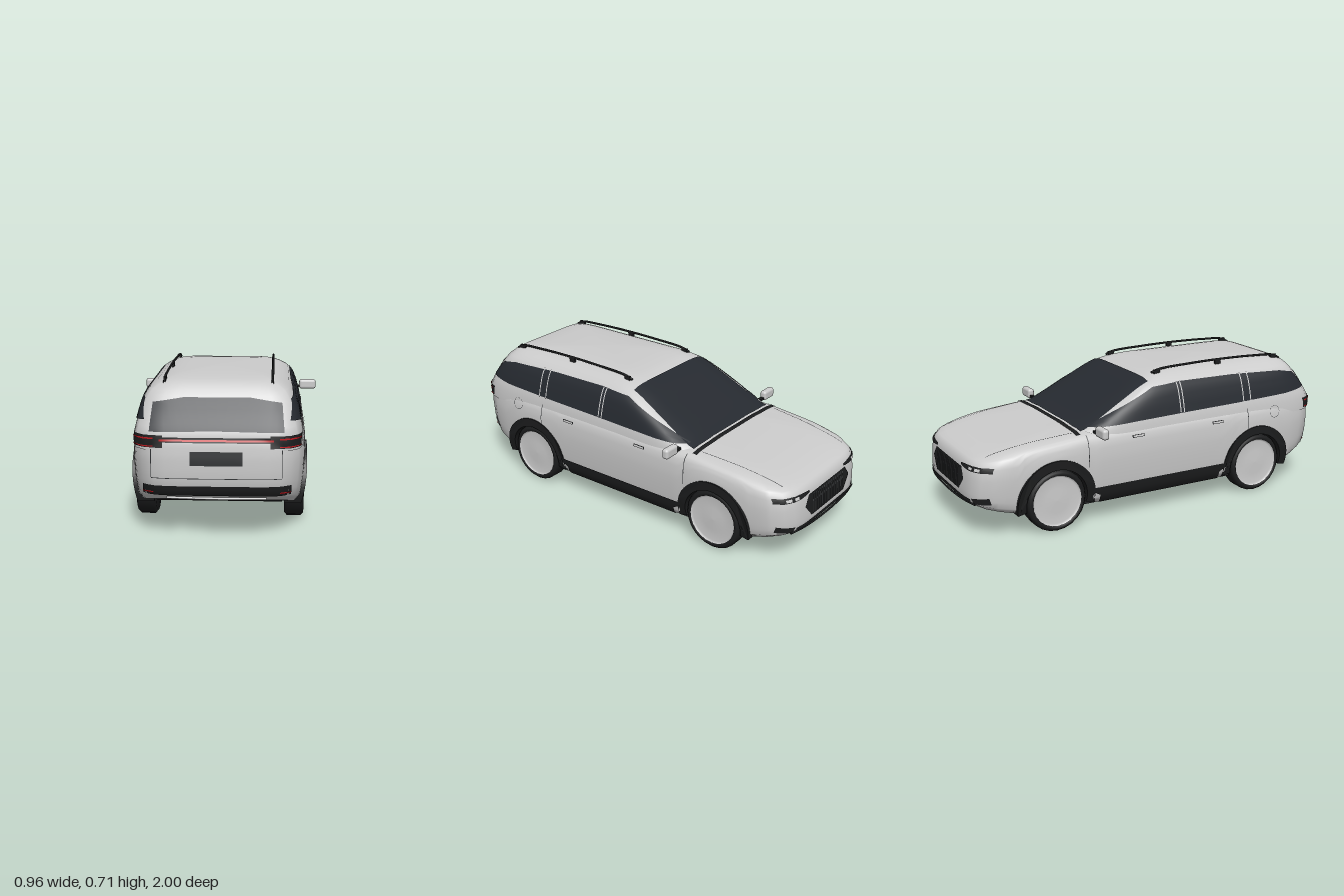
import * as THREE from 'three';
import { RoundedBoxGeometry } from 'three/addons/geometries/RoundedBoxGeometry.js';

const GREY = 0xcccccc, BLACK = 0x1c1d1e, GLASS = 0x262a30, RED = 0xc01a20, SEAM = 0x303234;
const AXLE = 0.582, WHEEL_R = 0.155;

const mat = (color) => new THREE.MeshStandardMaterial({ color, side: THREE.DoubleSide });
const mesh = (name, geo, color) => {
  const m = new THREE.Mesh(geo, mat(color));
  m.name = name;
  return m;
};

// Linear lookup in rows sorted by their first value; returns the other columns
function lookup(rows, t) {
  let i = 0;
  while (i < rows.length - 2 && t > rows[i + 1][0]) i++;
  const a = rows[i], b = rows[i + 1];
  const f = THREE.MathUtils.clamp((t - a[0]) / (b[0] - a[0]), 0, 1);
  return a.slice(1).map((v, k) => v + (b[k + 1] - v) * f);
}

// Surface from a grid of points
function gridGeometry(rows, closed) {
  const n = rows[0].length, idx = [];
  for (let j = 0; j < rows.length - 1; j++) {
    for (let i = 0; i < (closed ? n : n - 1); i++) {
      const k = (i + 1) % n, a = j * n + i, b = j * n + k, c = a + n, d = b + n;
      idx.push(a, c, b, b, c, d);
    }
  }
  const g = new THREE.BufferGeometry().setFromPoints(rows.flat());
  g.setIndex(idx);
  g.computeVertexNormals();
  return g;
}

// Rounded-rectangle plan outline in -1..1, even steps along the four sides
function planOutline(power) {
  const pts = [], corners = [[1, -1], [1, 1], [-1, 1], [-1, -1]];
  corners.forEach((c, s) => {
    const d = corners[(s + 1) % 4], n = s % 2 ? 14 : 46;
    for (let i = 0; i < n; i++) {
      const p = c[0] + (d[0] - c[0]) * i / n, q = c[1] + (d[1] - c[1]) * i / n;
      const r = Math.pow(Math.abs(p) ** power + Math.abs(q) ** power, -1 / power);
      pts.push([p * r, q * r]);
    }
  });
  return pts;
}

// Height of the lower edge, rising towards both bumpers
const base = (z) => 0.1 + Math.max(0, Math.abs(z) - 0.7) * (z > 0 ? 0.29 : 0.21);

// Lower body: bumpers, flanks and bonnet, with the lower edge lifted over the wheels
function lowerBody() {
  const rows = [ // height fraction, half width, front z, rear z
    [0, 0.36, -0.945, 0.955], [0.09, 0.382, -0.985, 0.985], [0.3, 0.393, -0.987, 0.998],
    [0.6, 0.4, -0.982, 1], [0.8, 0.397, -0.975, 0.995], [0.9, 0.39, -0.965, 0.99],
    [0.96, 0.379, -0.95, 0.98], [1, 0.36, -0.92, 0.965]];
  const crest = [[-1, 0.383], [-0.9, 0.4], [-0.7, 0.43], [-0.43, 0.453], [0, 0.465], [1, 0.47]];
  const outline = planOutline(7);
  const cut = (z) => {
    const d = Math.abs(Math.abs(z) - AXLE), r = 0.187;
    return d < r ? Math.max(base(z), WHEEL_R + Math.sqrt(r * r - d * d)) : base(z);
  };
  const ring = (t, inset, lift) => outline.map(([p, q]) => {
    const [, zf, zr] = lookup(rows, t);
    const z = ((zf + zr) / 2 + q * (zr - zf) / 2) * inset;
    const [top] = lookup(crest, z), y = cut(z) + (top - cut(z)) * t;
    const [w] = lookup(rows, (y - base(z)) / (top - base(z)));
    return new THREE.Vector3(p * w * inset, y + lift, z);
  });
  const levels = [0, 0.05, 0.09, 0.2, 0.3, 0.45, 0.6, 0.7, 0.8, 0.85, 0.9, 0.93, 0.96, 1];
  const rings = levels.map((t) => ring(t, 1, 0));
  [[0.93, 0.006], [0.8, 0.011], [0.5, 0.016], [0, 0.018]].forEach(([s, l]) => rings.push(ring(1, s, l)));
  return mesh('lowerBody', gridGeometry(rings, true), GREY);
}

// Cabin with raked windscreen, tailgate and crowned roof
function cabin() {
  const rows = [ // y, half width, front z, rear z
    [0.4, 0.385, -0.49, 0.985], [0.46, 0.383, -0.43, 0.985], [0.5, 0.373, -0.345, 0.966],
    [0.55, 0.361, -0.25, 0.935], [0.6, 0.345, -0.155, 0.9], [0.625, 0.332, -0.112, 0.882],
    [0.645, 0.317, -0.07, 0.866], [0.665, 0.288, -0.025, 0.845], [0.677, 0.263, 0.01, 0.825],
    [0.687, 0.235, 0.05, 0.79], [0.695, 0.19, 0.14, 0.7], [0.7, 0.1, 0.28, 0.56], [0.702, 0, 0.42, 0.42]];
  const outline = planOutline(9);
  const rings = rows.map(([y, w, zf, zr]) => outline.map(([p, q]) =>
    new THREE.Vector3(p * w, y, (zf + zr) / 2 + q * (zr - zf) / 2)));
  return mesh('cabin', gridGeometry(rings, true), GREY);
}

// Flat floor pan closing the body from below
function floorPan() {
  const outline = planOutline(7);
  const rings = [1, 0.9, 0.8, 0.7, 0.35, 0].map((s) => outline.map(([p, q]) => {
    const z = (0.005 + q * 0.95) * s;
    return new THREE.Vector3(p * 0.36 * s, base(z) - 0.008 * (1 - s), z);
  }));
  return mesh('floorPan', gridGeometry(rings, true), BLACK);
}

// Tyre and dished rim
function wheel() {
  const g = new THREE.Group();
  const turn = (pts) => new THREE.LatheGeometry(pts.map((p) => new THREE.Vector2(...p)), 24).rotateZ(-Math.PI / 2);
  const tyre = mesh('tyre', turn([[0.08, -0.045], [0.14, -0.045], [0.155, -0.032], [0.155, 0.032],
    [0.143, 0.045], [0.128, 0.045], [0.124, 0.035]]), BLACK);
  const rim = mesh('rim', turn([[0.127, 0.043], [0.118, 0.034], [0.06, 0.036], [0, 0.038]]), GREY);
  const back = mesh('wheelBack', new THREE.CircleGeometry(0.1, 24).rotateY(-Math.PI / 2).translate(-0.04, 0, 0), BLACK);
  g.add(tyre, rim, back);
  return g;
}

// Wheel-arch trim, leaning inwards towards the sill like the flank
function archGeometry() {
  const arch = new THREE.Shape();
  arch.absarc(0, 0, 0.205, -0.22, Math.PI + 0.22, false);
  arch.absarc(0, 0, 0.16, Math.PI + 0.22, -0.22, true);
  const g = new THREE.ExtrudeGeometry(arch, { depth: 0.105, bevelEnabled: false, curveSegments: 28 }).rotateY(Math.PI / 2);
  const p = g.attributes.position;
  for (let i = 0; i < p.count; i++) {
    if (p.getX(i) > 0.05) p.setX(i, 0.105 - Math.max(0, 0.15 - p.getY(i)) ** 2 * 0.7);
  }
  g.computeVertexNormals();
  return g;
}

export function createModel() {
  const car = new THREE.Group();
  car.name = 'car';
  const shell = [lowerBody(), cabin()];
  car.add(...shell, floorPan());

  const addPair = (name, build) => [1, -1].forEach((s) => {
    const m = build();
    m.name = (s > 0 ? 'left' : 'right') + name;
    m.scale.x = s;
    m.position.x *= s;
    car.add(m);
  });

  // Lay a panel between two outlines onto the shell along one axis
  const caster = new THREE.Raycaster();
  const views = {
    side: [(u, v) => [2, v, u], [-1, 0, 0]], rear: [(u, v) => [u, v, 2], [0, 0, -1]],
    front: [(u, v) => [u, v, -2], [0, 0, 1]], top: [(u, v) => [u, 2, v], [0, -1, 0]] };
  const along = (pts, f) => {
    const s = f * (pts.length - 1), i = Math.min(Math.floor(s), pts.length - 2), k = s - i;
    return pts[i].map((v, c) => v + (pts[i + 1][c] - v) * k);
  };
  function drape(view, a, b, nu = 12, nv = 3, off = 0.004) {
    const [start, d] = views[view], dir = new THREE.Vector3(...d), rows = [];
    for (let j = 0; j <= nv; j++) {
      const row = [];
      for (let i = 0; i <= nu; i++) {
        const p = along(a, i / nu), q = along(b, i / nu);
        const o = start(p[0] + (q[0] - p[0]) * j / nv, p[1] + (q[1] - p[1]) * j / nv);
        caster.set(new THREE.Vector3(...o), dir);
        const hit = caster.intersectObjects(shell)[0];
        if (!hit) {
          row.push(null);
          continue;
        }
        const n = hit.face.normal;
        row.push(hit.point.clone().addScaledVector(n, n.dot(dir) > 0 ? -off : off));
      }
      rows.push(row);
    }
    // Points past the edge of the shell fall back to the nearest one on it
    const spare = rows.flat().find((p) => p);
    return gridGeometry(rows.map((row) => row.map((p, i) => {
      for (let k = 1; !p && k <= nu; k++) p = row[i - k] || row[i + k];
      return (p || spare).clone();
    })), false);
  }
  const panel = (name, color, ...args) => car.add(mesh(name, drape(...args), color));
  const pairPanel = (name, color, ...args) => {
    const g = drape(...args);
    addPair(name, () => mesh(name, g, color));
  };
  const rect = (u0, v0, u1, v1) => [[[u0, v0], [u1, v0]], [[u0, v1], [u1, v1]]];

  // Glass
  panel('windscreen', GLASS, 'top', [[-0.325, -0.425], [0.325, -0.425]], [[-0.285, -0.025], [0.285, -0.025]], 16, 14);
  panel('rearWindow', GLASS, 'rear', [[-0.295, 0.478], [0, 0.483], [0.295, 0.478]],
    [[-0.285, 0.596], [-0.15, 0.617], [0.15, 0.617], [0.285, 0.596]], 18, 8);
  pairPanel('SideWindows', GLASS, 'side', [[0.925, 0.524], [0.78, 0.508], [0.46, 0.498], [0.14, 0.492], [-0.14, 0.485], [-0.385, 0.474]],
    [[0.848, 0.607], [0.76, 0.625], [0.46, 0.638], [0.14, 0.641], [-0.02, 0.63], [-0.385, 0.476]], 40, 8);
  [0.545, 0.5, 0.135, 0.115].forEach((z) =>
    pairPanel('WindowPillar', GREY, 'side', ...rect(z - 0.003, 0.495, z + 0.003, 0.641), 1, 8, 0.006));
  panel('cowl', BLACK, 'top', ...rect(-0.355, -0.462, 0.355, -0.438), 16, 2);

  // Flanks: sills, handles, seams, filler flap
  pairPanel('Sill', BLACK, 'side', ...rect(-0.39, 0.104, 0.39, 0.188), 20, 4, 0.006);
  [0.33, -0.14].forEach((z) => {
    pairPanel('DoorHandleRecess', BLACK, 'side', ...rect(z - 0.034, 0.41, z + 0.034, 0.424), 3, 1);
    pairPanel('DoorHandle', GREY, 'side', ...rect(z - 0.03, 0.413, z + 0.03, 0.421), 3, 1, 0.007);
  });
  [[0.522, 0.35, 0.46], [-0.415, 0.3, 0.45]].forEach(([z, y0, y1]) =>
    pairPanel('DoorSeam', SEAM, 'side', ...rect(z - 0.0018, y0, z + 0.0018, y1), 1, 10, 0.003));
  const circle = (r) => Array.from({ length: 25 }, (_, i) =>
    [0.695 + r * Math.cos(i * Math.PI / 12), 0.422 + r * Math.sin(i * Math.PI / 12)]);
  pairPanel('FillerFlapSeam', SEAM, 'side', circle(0.03), circle(0.032), 24, 1, 0.003);
  pairPanel('BonnetSeam', SEAM, 'top', [[0.285, -0.9], [0.318, -0.47]], [[0.288, -0.9], [0.321, -0.47]], 10, 1, 0.003);

  // Rear: lamps, plate, bumper
  pairPanel('TailLamp', BLACK, 'rear', ...rect(0.235, 0.412, 0.368, 0.465), 12, 3);
  pairPanel('TailLampSide', BLACK, 'side', [[0.975, 0.412], [0.91, 0.428]], [[0.975, 0.462], [0.9, 0.45]], 6, 3);
  [[0.416, 0.421], [0.45, 0.457]].forEach(([y0, y1]) => {
    pairPanel('TailLampStrip', RED, 'rear', ...rect(0.275, y0, 0.366, y1), 10, 1, 0.007);
    pairPanel('TailLampSideStrip', RED, 'side', ...rect(0.97, y0, 0.93, y1), 4, 1, 0.007);
  });
  panel('lightBarTrim', BLACK, 'rear', ...rect(-0.236, 0.435, 0.236, 0.458), 16, 2, 0.004);
  panel('lightBar', RED, 'rear', ...rect(-0.25, 0.441, 0.25, 0.45), 16, 1, 0.007);
  panel('numberPlate', SEAM, 'rear', ...rect(-0.115, 0.336, 0.115, 0.398), 6, 3);
  pairPanel('TailgateSeam', SEAM, 'rear', ...rect(0.284, 0.28, 0.287, 0.405), 1, 6, 0.003);
  panel('tailgateLowerSeam', SEAM, 'rear', ...rect(-0.285, 0.276, 0.285, 0.279), 16, 1, 0.003);
  panel('rearBumperTrim', BLACK, 'rear', ...rect(-0.325, 0.198, 0.325, 0.243), 24, 3, 0.004);
  pairPanel('RearReflector', RED, 'rear', ...rect(0.275, 0.208, 0.322, 0.215), 4, 1, 0.007);

  // Front: grille, headlamps, lower intake
  panel('grille', BLACK, 'front', [[-0.21, 0.285], [-0.155, 0.222], [0.155, 0.222], [0.21, 0.285]],
    [[-0.21, 0.285], [-0.175, 0.335], [0.175, 0.335], [0.21, 0.285]], 24, 5);
  for (let i = -8; i <= 8; i++) {
    panel('grilleSlat', 0x3a3c3e, 'front', ...rect(i * 0.018 - 0.003, 0.23, i * 0.018 + 0.003, 0.328), 1, 4, 0.007);
  }
  pairPanel('Headlamp', BLACK, 'front', [[0.165, 0.343], [0.24, 0.336], [0.355, 0.336]], [[0.165, 0.352], [0.24, 0.358], [0.355, 0.36]], 16, 2);
  pairPanel('HeadlampSide', BLACK, 'side', [[-0.955, 0.336], [-0.92, 0.344]], [[-0.955, 0.36], [-0.92, 0.358]], 4, 2);
  [0.25, 0.29].forEach((x) =>
    pairPanel('HeadlampLens', GREY, 'front', ...rect(x, 0.341, x + 0.028, 0.352), 4, 1, 0.007));
  panel('lowerIntake', BLACK, 'front', ...rect(-0.27, 0.182, 0.27, 0.2), 18, 2);
  pairPanel('CornerIntake', BLACK, 'front', [[0.285, 0.18], [0.345, 0.182]], [[0.275, 0.205], [0.345, 0.215]], 8, 2);
  const bar = (name, pts, y, r, color) => {
    const path = new THREE.CatmullRomCurve3(pts.map(([x, z]) => new THREE.Vector3(x, y, z)));
    car.add(mesh(name, new THREE.TubeGeometry(path, 20, r, 6), color));
  };
  bar('frontLip', [[-0.3, -0.965], [-0.2, -0.985], [0, -0.995], [0.2, -0.985], [0.3, -0.965]], 0.178, 0.005, BLACK);
  bar('rearBumperStrip', [[-0.22, 0.98], [0, 0.99], [0.22, 0.98]], 0.187, 0.006, GREY);

  // Dark core between the wheels
  const core = new THREE.Shape([[0.88, 0.17], [0.74, 0.105], [-0.74, 0.105], [-0.88, 0.15], [-0.84, 0.34], [0.86, 0.38]]
    .map(([z, y]) => new THREE.Vector2(-z, y)));
  car.add(mesh('wheelWells', new THREE.ExtrudeGeometry(core, { depth: 0.58, bevelEnabled: false })
    .translate(0, 0, -0.29).rotateY(Math.PI / 2), BLACK));

  // Wheels, arch trims, mirrors, roof rails
  const archGeo = archGeometry();
  [['Front', -AXLE], ['Rear', AXLE]].forEach(([end, z]) => {
    addPair(end + 'Wheel', () => { const w = wheel(); w.position.set(0.345, WHEEL_R, z); return w; });
    addPair(end + 'ArchTrim', () => { const m = mesh('', archGeo, BLACK); m.position.set(0.298, WHEEL_R, z); return m; });
  });
  addPair('Mirror', () => {
    const m = mesh('', new RoundedBoxGeometry(0.092, 0.052, 0.036, 3, 0.014), GREY);
    m.position.set(0.433, 0.474, -0.362);
    return m;
  });
  addPair('MirrorArm', () => {
    const m = mesh('', new THREE.BoxGeometry(0.05, 0.012, 0.02), BLACK);
    m.position.set(0.382, 0.462, -0.362);
    return m;
  });
  const rail = new THREE.CatmullRomCurve3([[0.02, 0.683], [0.06, 0.696], [0.25, 0.705], [0.45, 0.707], [0.65, 0.702], [0.78, 0.692], [0.82, 0.672]]
    .map(([z, y]) => new THREE.Vector3(0.242, y, z)));
  addPair('RoofRail', () => mesh('', new THREE.TubeGeometry(rail, 30, 0.006, 6), BLACK));
  [[0.05, 0.682], [0.42, 0.693], [0.78, 0.682]].forEach(([z, y]) => addPair('RailFoot', () => {
    const m = mesh('', new THREE.BoxGeometry(0.011, 0.028, 0.035), BLACK);
    m.position.set(0.242, y, z);
    return m;
  }));
  return car;
}
